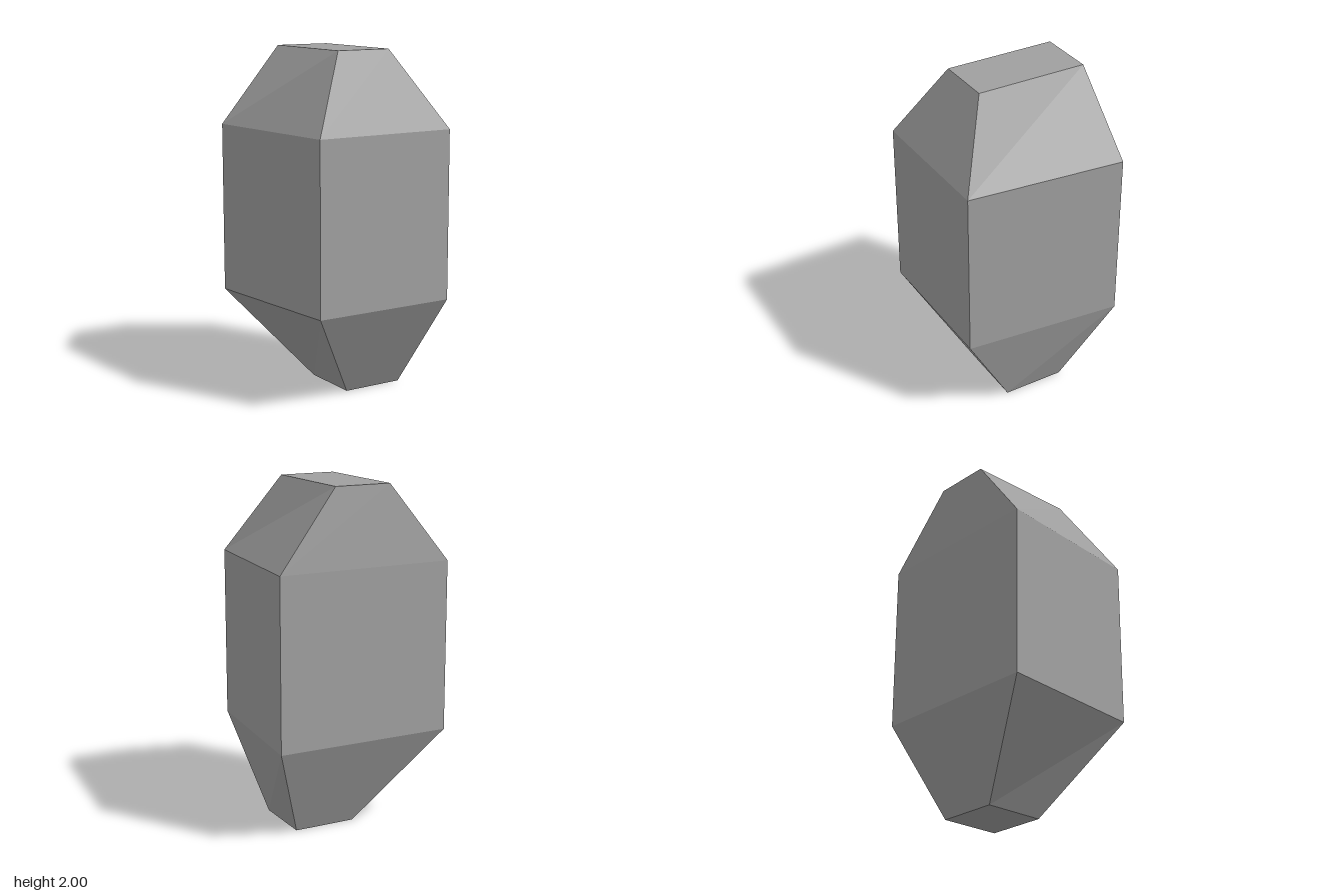
import * as THREE from 'three';

// Rings from bottom to top: height, front and back z, then the x range at the front and at the back
const RINGS = [
  { y: 0, zf: 0.145, zb: -0.225, front: [-0.052, 0.315], back: [-0.052, 0.315] },
  { y: 0.557, zf: 0.465, zb: -0.465, front: [-0.43, 0.435], back: [-0.527, 0.525] },
  { y: 1.55, zf: 0.465, zb: -0.465, front: [-0.43, 0.435], back: [-0.527, 0.525] },
  { y: 2, zf: 0.237, zb: -0.422, front: [-0.17, 0.168], back: [-0.17, 0.168] },
];

// Four corners of a ring, counter-clockwise seen from above
function corners({ y, zf, zb, front, back }) {
  return [
    [front[0], y, zf], [front[1], y, zf],
    [back[1], y, zb], [back[0], y, zb],
  ];
}

// Joins the rings with quads and closes both ends
function loftGeometry(rings) {
  const loops = rings.map(corners);
  const positions = [];
  const quad = (a, b, c, d) => positions.push(...a, ...b, ...c, ...a, ...c, ...d);

  for (let r = 0; r < loops.length - 1; r++) {
    for (let i = 0; i < 4; i++) {
      const j = (i + 1) % 4;
      quad(loops[r][i], loops[r][j], loops[r + 1][j], loops[r + 1][i]);
    }
  }
  quad(...loops[0].slice().reverse());
  quad(...loops[loops.length - 1]);

  const geometry = new THREE.BufferGeometry();
  geometry.setAttribute('position', new THREE.Float32BufferAttribute(positions, 3));
  geometry.computeVertexNormals();
  return geometry;
}

export function createModel() {
  const group = new THREE.Group();
  group.name = 'rock';

  const stone = new THREE.MeshStandardMaterial({ color: 0xa0a0a0, flatShading: true });
  stone.name = 'grey stone';

  // Faceted stone body with tapered ends
  const body = new THREE.Mesh(loftGeometry(RINGS), stone);
  body.name = 'stoneBody';
  group.add(body);
  return group;
}
